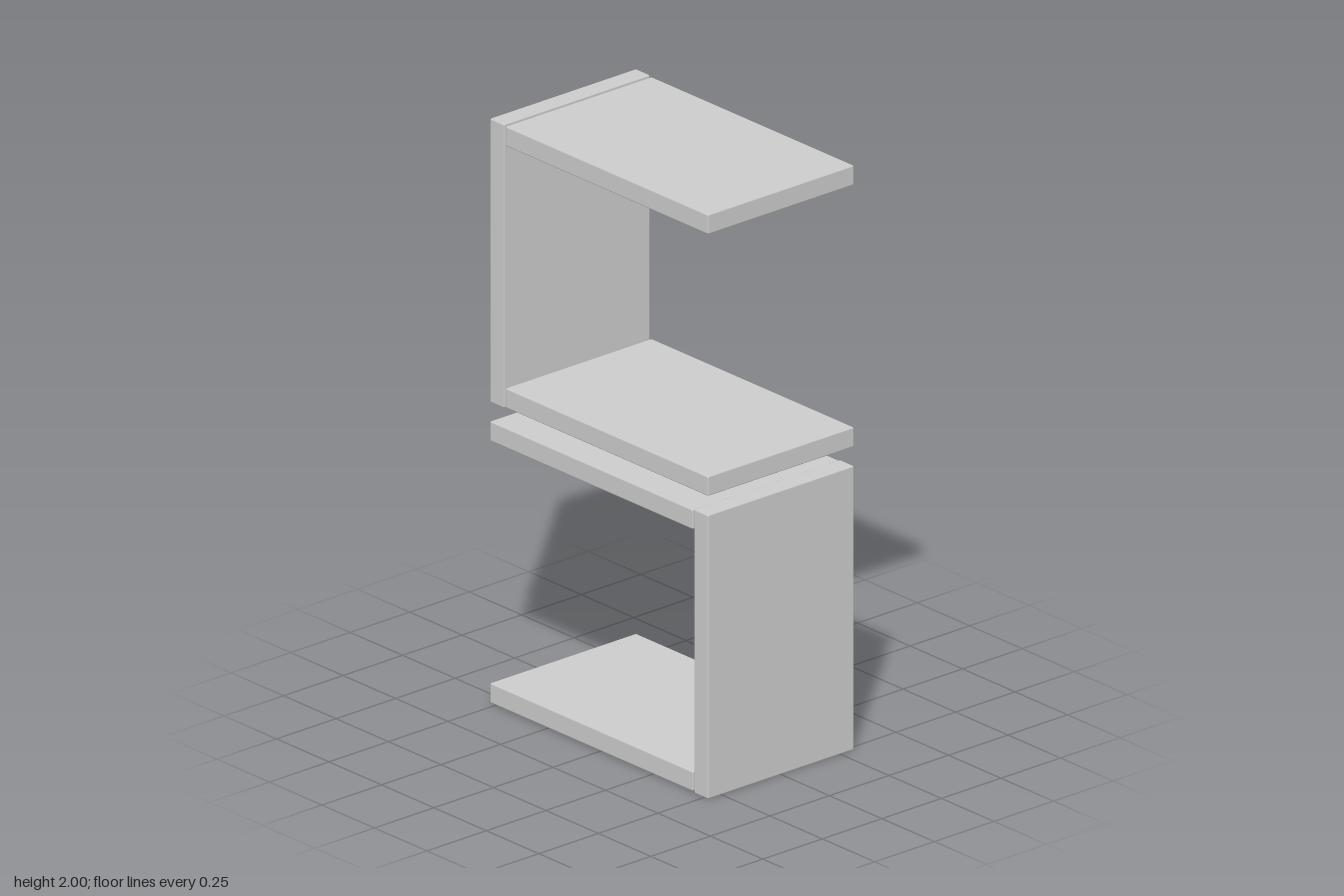
import * as THREE from 'three';
import { RoundedBoxGeometry } from 'three/addons/geometries/RoundedBoxGeometry.js';

const WIDTH = 0.614, DEPTH = 1.04, HEIGHT = 0.97;
const THICK = 0.068, BEVEL = 0.005, GAP = 0.006;

export function createModel() {
  const model = new THREE.Group();
  model.name = 'stackedShelf';
  const material = new THREE.MeshStandardMaterial({ color: 0xcccccc });

  // A board with slightly eased edges
  function board(name, width, height, depth, y, z) {
    const mesh = new THREE.Mesh(new RoundedBoxGeometry(width, height, depth, 1, BEVEL), material);
    mesh.name = name;
    mesh.position.set(0, y, z);
    return mesh;
  }

  // C-shaped unit: one upright panel with two shelves; side is +1 for a front upright, -1 for a back one
  function unit(name, baseY, side) {
    const group = new THREE.Group();
    group.name = name;
    group.position.y = baseY;
    const shelfDepth = DEPTH - THICK - GAP;
    const shelfZ = -side * (DEPTH - shelfDepth) / 2;
    const shelfY = THICK / 2 + 0.004;
    group.add(
      board('uprightPanel', WIDTH, HEIGHT, THICK, HEIGHT / 2, side * (DEPTH - THICK) / 2),
      board('bottomShelf', WIDTH, THICK, shelfDepth, shelfY, shelfZ),
      board('topShelf', WIDTH, THICK, shelfDepth, HEIGHT - shelfY, shelfZ)
    );
    return group;
  }

  model.add(unit('lowerUnit', 0, 1), unit('upperUnit', 2 - HEIGHT, -1));
  return model;
}
